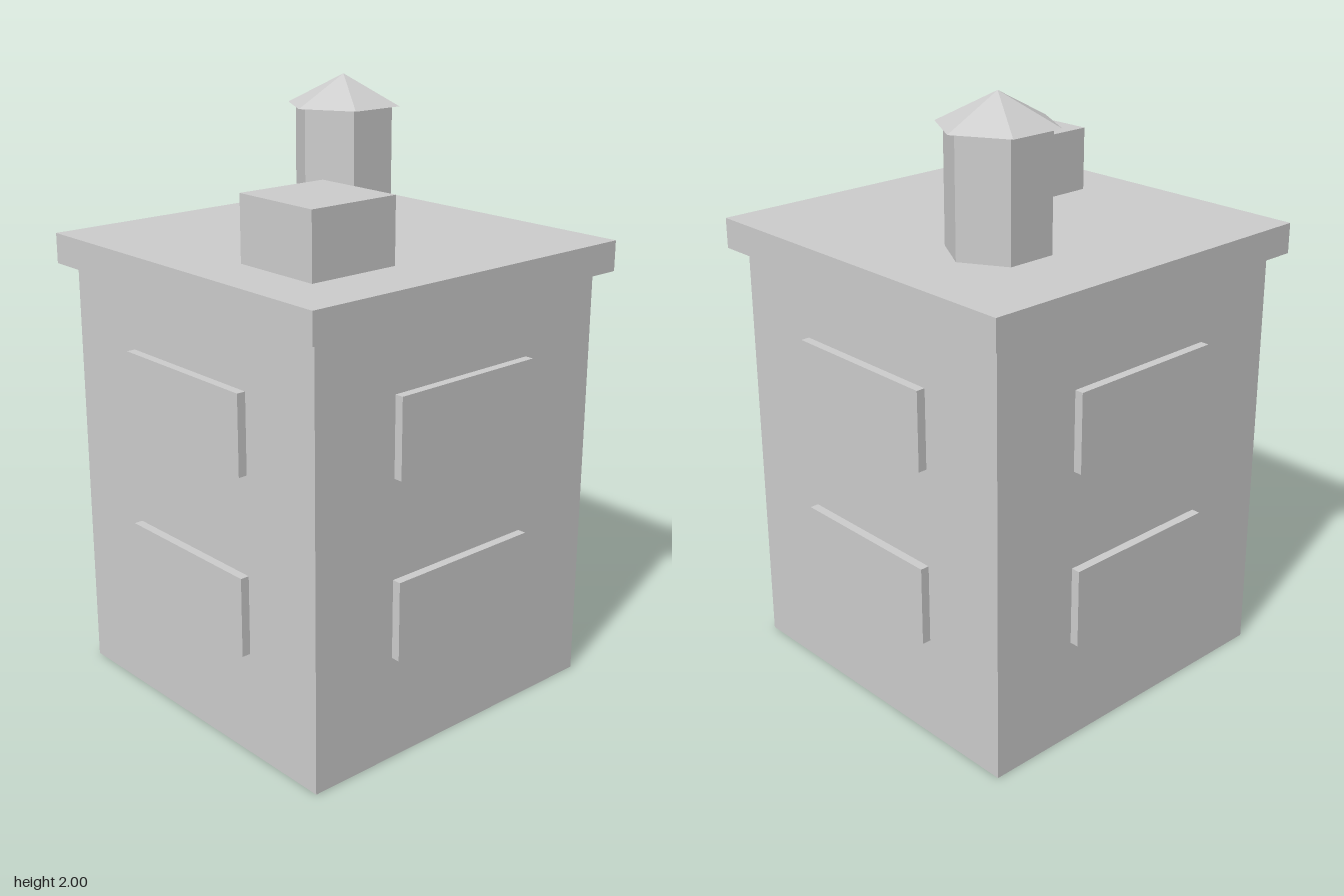
import * as THREE from 'three';

export function createModel() {
  const model = new THREE.Group();
  model.name = 'building';
  const concrete = new THREE.MeshStandardMaterial({ color: 0xcccccc });
  concrete.name = 'concrete grey';

  const add = (name, geometry, x, y, z, parent = model) => {
    const mesh = new THREE.Mesh(geometry, concrete);
    mesh.name = name;
    mesh.position.set(x, y, z);
    parent.add(mesh);
    return mesh;
  };
  // Box standing on y0 and reaching y1
  const block = (name, w, d, y0, y1, x = 0, z = 0, parent = model) =>
    add(name, new THREE.BoxGeometry(w, y1 - y0, d), x, (y0 + y1) / 2, z, parent);
  // Six-sided prism or cone with corners on the x axis and hard facets
  const hexagon = (name, rTop, rBottom, y0, y1, x, z) => {
    const geometry = new THREE.CylinderGeometry(rTop, rBottom, y1 - y0, 6).rotateY(Math.PI / 6).toNonIndexed();
    geometry.computeVertexNormals();
    return add(name, geometry, x, (y0 + y1) / 2, z);
  };

  // Main block and overhanging roof slab
  block('walls', 1.175, 1.175, 0, 1.42);
  block('roofSlab', 1.27, 1.27, 1.42, 1.52);

  // Two raised window panels on each of the four sides
  for (let i = 0; i < 4; i++) {
    const side = new THREE.Group();
    side.name = 'windowSide' + (i + 1);
    side.rotation.y = i * Math.PI / 2;
    block('lowerWindow', 0.56, 0.06, 0.348, 0.61, 0, 0.587, side);
    block('upperWindow', 0.56, 0.06, 0.936, 1.197, 0, 0.587, side);
    model.add(side);
  }

  // Rooftop housing
  block('roofHousing', 0.323, 0.323, 1.52, 1.732, -0.288, 0.257);

  // Hexagonal turret with a pointed cap
  hexagon('turret', 0.168, 0.168, 1.52, 1.9, 0.232, -0.21);
  hexagon('turretCap', 0, 0.194, 1.9, 2, 0.232, -0.21);

  return model;
}
